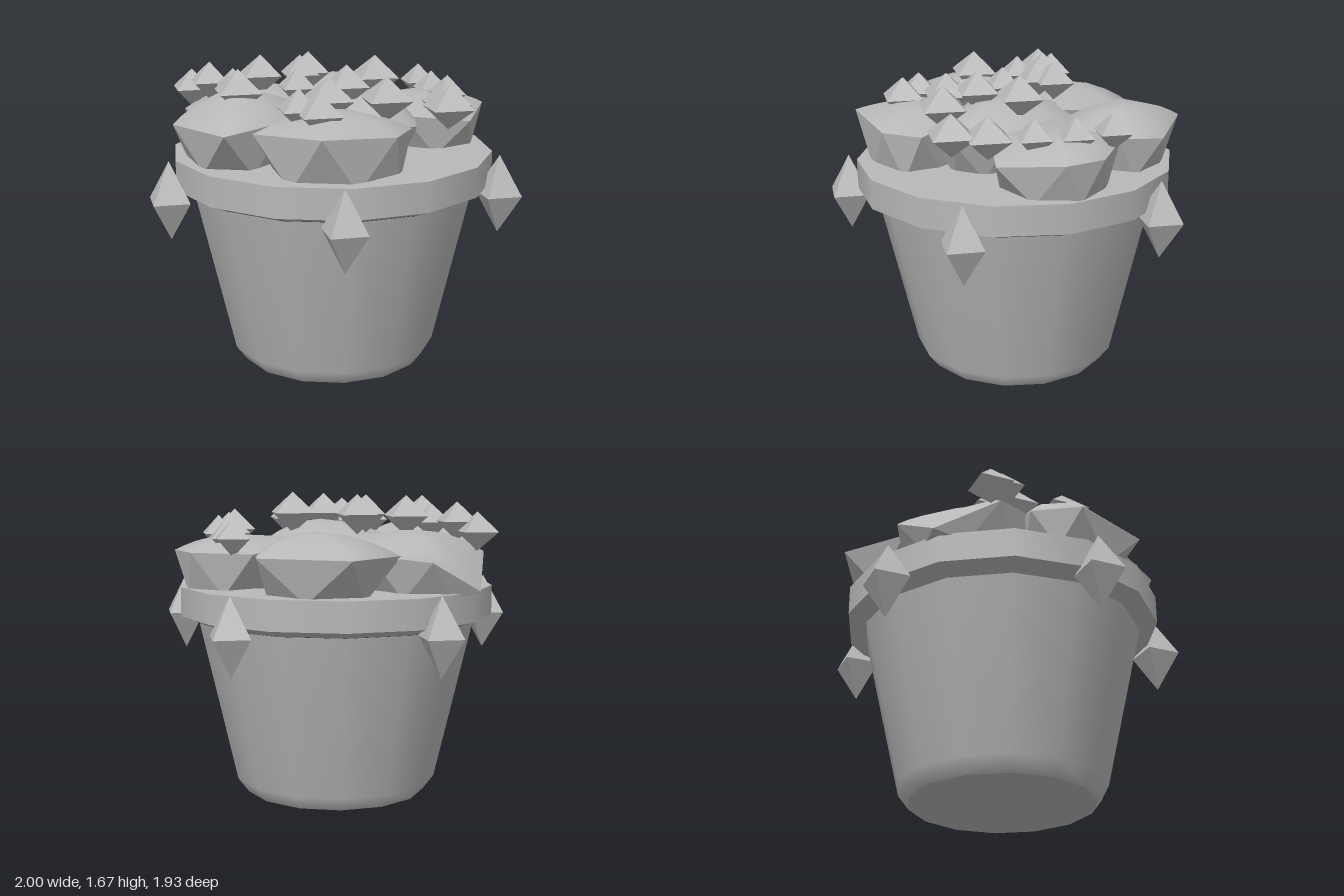
import * as THREE from 'three';

const clay = new THREE.MeshStandardMaterial({ color: 0xb8b8b8 });
clay.name = 'plainGrey';

const POT_X = -0.01, POT_Z = 0.08;

function add(group, geometry, name) {
  const mesh = new THREE.Mesh(geometry, clay);
  mesh.name = name;
  group.add(mesh);
  return mesh;
}

// Fourteen-sided surface turned about the pot axis, profile from bottom to top
function turned(group, name, ...profile) {
  const pts = profile.map(([r, y]) => new THREE.Vector2(r, y));
  add(group, new THREE.LatheGeometry(pts, 14, Math.PI / 2), name).position.set(POT_X, 0, POT_Z);
}

// Geometry from a list of corner vectors, three per flat face
function flatFaces(corners) {
  const g = new THREE.BufferGeometry().setFromPoints(corners);
  g.computeVertexNormals();
  return g;
}

// Boulder: smooth dome over an outline of [x, z, y] corners, faceted underside tapering to a lower ring
function boulder(group, name, outline, top, taper = 0.8, low = 1.14) {
  const edge = outline.map(([x, z, y = 1.37]) => new THREE.Vector3(x, y, z));
  const n = edge.length;
  const c = edge.reduce((s, p) => s.add(p), new THREE.Vector3()).divideScalar(n);
  const boulderGroup = new THREE.Group();
  boulderGroup.name = name;

  // dome
  const pos = [], index = [], rings = [1, 0.85, 0.65, 0.35];
  for (const s of rings) {
    for (const p of edge) {
      pos.push(c.x + (p.x - c.x) * s, p.y + (top - p.y) * (1 - s * s), c.z + (p.z - c.z) * s);
    }
  }
  pos.push(c.x, top, c.z);
  for (let r = 0; r < rings.length; r++) {
    for (let i = 0; i < n; i++) {
      const j = (i + 1) % n, a = r * n + i, b = r * n + j;
      if (r === rings.length - 1) index.push(rings.length * n, b, a);
      else index.push(a, a + n, b, b, a + n, b + n);
    }
  }
  const dome = new THREE.BufferGeometry();
  dome.setAttribute('position', new THREE.Float32BufferAttribute(pos, 3));
  dome.setIndex(index);
  dome.computeVertexNormals();
  add(boulderGroup, dome, name + 'Dome');

  // faceted underside
  const lower = edge.map((p, i) => {
    const m = p.clone().lerp(edge[(i + 1) % n], 0.5).sub(c).multiplyScalar(taper).add(c);
    return m.setY(low);
  });
  const base = new THREE.Vector3(c.x, low, c.z), faces = [];
  for (let i = 0; i < n; i++) {
    const j = (i + 1) % n;
    faces.push(edge[i], edge[j], lower[i], edge[j], lower[j], lower[i], base, lower[i], lower[j]);
  }
  add(boulderGroup, flatFaces(faces), name + 'Underside');
  group.add(boulderGroup);
}

// Eight-faced crystal with its corners on the x, y and z axes
function crystal(group, name, x, y, z, halfWidth, halfHeight) {
  const g = new THREE.OctahedronGeometry(1, 0);
  g.scale(halfWidth, halfHeight, halfWidth);
  g.computeVertexNormals();
  add(group, g, name).position.set(x, y, z);
}

export function createModel() {
  const model = new THREE.Group();
  model.name = 'pottedBoulders';

  // Pot
  const pot = new THREE.Group();
  pot.name = 'pot';
  turned(pot, 'potBase', [0, 0], [0.505, 0]);
  turned(pot, 'potWall', [0.505, 0], [0.565, 0.08], [0.77, 0.97]);
  turned(pot, 'rimUnderside', [0.765, 0.97], [0.87, 1.01]);
  turned(pot, 'rimSide', [0.87, 1.01], [0.87, 1.17]);
  turned(pot, 'soil', [0.87, 1.17], [0.6, 1.18], [0, 1.18]);
  model.add(pot);

  // Boulders filling the pot, outlines clockwise from above
  const boulders = new THREE.Group();
  boulders.name = 'boulders';
  boulder(boulders, 'backRightBoulder',
    [[-0.6, -0.62], [-0.12, -0.77], [0.02, -0.58], [0.05, -0.36], [-0.12, -0.14], [-0.64, -0.24]], 1.49);
  boulder(boulders, 'rightBoulder',
    [[-0.93, 0.07, 1.18], [-0.8, -0.2, 1.34], [-0.5, -0.32], [-0.15, -0.1, 1.42], [-0.15, 0.3, 1.42],
      [-0.5, 0.5], [-0.78, 0.38, 1.36]], 1.48, 0.85);
  boulder(boulders, 'frontRightBoulder',
    [[-0.66, 0.5, 1.34], [-0.45, 0.26, 1.4], [-0.08, 0.25, 1.42], [0, 0.55, 1.4], [-0.11, 0.93, 1.38],
      [-0.57, 0.75, 1.36]], 1.53, 0.88);
  boulder(boulders, 'frontLeftBoulder',
    [[-0.03, 0.8, 1.38], [-0.02, 0.45, 1.42], [0.2, 0.24, 1.42], [0.58, 0.27, 1.38], [0.62, 0.5, 1.38],
      [0.41, 0.86, 1.41]], 1.48, 0.93, 1.12);
  boulder(boulders, 'backLeftBoulder',
    [[0.03, -0.6], [0.37, -0.7], [0.57, -0.6], [0.66, -0.25, 1.33], [0.38, -0.02], [0, -0.15, 1.42]], 1.45, 0.88);
  boulder(boulders, 'middleBoulder',
    [[-0.35, -0.1], [0, -0.3], [0.38, -0.12], [0.52, 0.1, 1.35], [0.45, 0.32], [0.05, 0.45], [-0.35, 0.3]], 1.52);
  model.add(boulders);

  // Small crystals scattered on top: x, y, z, half width
  const topCrystals = new THREE.Group();
  topCrystals.name = 'topCrystals';
  const scattered = [
    [0.15, 1.45, -0.62, 0.115], [0.3, 1.44, -0.49, 0.115], [0.47, 1.45, -0.35, 0.115],
    [0.57, 1.44, -0.14, 0.15], [0.66, 1.45, 0.02, 0.15], [0.17, 1.56, -0.07, 0.15],
    [-0.23, 1.56, -0.03, 0.135], [-0.22, 1.56, 0.07, 0.125], [-0.42, 1.55, 0.16, 0.14],
    [-0.13, 1.52, 0.24, 0.12], [0.16, 1.55, 0.21, 0.14], [0.42, 1.51, 0.25, 0.155],
    [-0.77, 1.47, 0.32, 0.13], [-0.64, 1.52, 0.33, 0.13], [-0.46, 1.51, 0.36, 0.115],
    [-0.29, 1.53, 0.55, 0.155], [0.1, 1.5, 0.36, 0.08], [0.17, 1.51, 0.41, 0.155],
    [0.06, 1.49, 0.51, 0.075], [0.13, 1.49, 0.63, 0.125], [0.26, 1.48, 0.64, 0.14],
  ];
  for (const [x, y, z, w] of scattered) crystal(topCrystals, 'topCrystal', x, y, z, w, 0.1 + (w - 0.115) * 0.4);
  model.add(topCrystals);

  // Five tall crystals around the rim
  const rimCrystals = new THREE.Group();
  rimCrystals.name = 'rimCrystals';
  for (const [x, z] of [[-0.865, -0.215], [-0.55, 0.82], [0.52, 0.83], [0.865, -0.19], [0, -0.83]]) {
    crystal(rimCrystals, 'rimCrystal', x, 0.97, z, 0.135, 0.212);
  }
  model.add(rimCrystals);

  return model;
}
